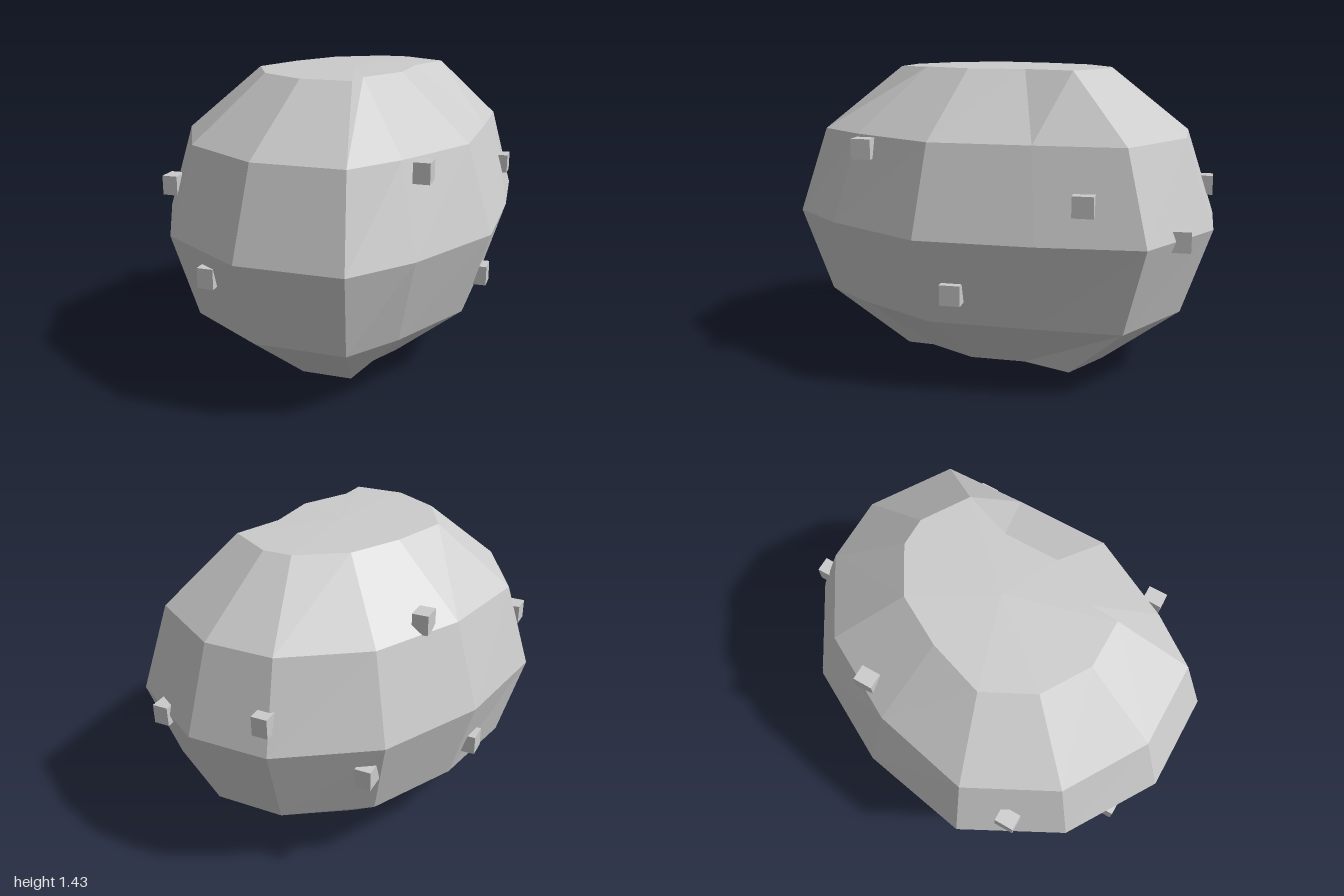
import * as THREE from 'three';

const SIDES = 12;
const MID = 0.717;

// x of each ring corner, going round from the front; z follows from the angle
const RINGS = {
  cap: [0.22, 0.23, 0.35, 0.35, 0.435, 0.22, 0.08, -0.14, -0.27, -0.36, -0.24, -0.02],
  shoulder: [0.31, 0.48, 0.69, 0.69, 0.68, 0.31, -0.02, -0.38, -0.6, -0.7, -0.49, -0.11],
  equator: [0.345, 0.57, 0.815, 0.815, 0.775, 0.345, -0.045, -0.47, -0.72, -0.815, -0.57, -0.14],
};

// One horizontal ring of the body
function ring(xs, radius, y) {
  return xs.map((x, i) => {
    const a = ((i + 0.5) / SIDES) * Math.PI * 2;
    return [x, y, (radius * Math.cos(a)) / Math.cos(Math.PI / 12)];
  });
}

// Skin the stacked rings and close them with shallow caps
function bodyGeometry() {
  const rings = [
    ring(RINGS.cap, 0.5, MID - 0.707),
    ring(RINGS.shoulder, 0.866, MID - 0.408),
    ring(RINGS.equator, 1, MID),
    ring(RINGS.shoulder, 0.866, MID + 0.408),
    ring(RINGS.cap, 0.5, MID + 0.707),
  ];
  const points = rings.flat();
  const index = [];
  const bottom = points.push([0.08, 0.003, 0]) - 1;
  const top = points.push([0.08, 1.43, 0]) - 1;
  const last = (rings.length - 1) * SIDES;
  for (let i = 0; i < SIDES; i++) {
    const j = (i + 1) % SIDES;
    for (let r = 0; r < last; r += SIDES) {
      index.push(r + i, r + j, r + SIDES + j, r + i, r + SIDES + j, r + SIDES + i);
    }
    index.push(bottom, j, i, top, last + i, last + j);
  }
  const geometry = new THREE.BufferGeometry();
  geometry.setAttribute('position', new THREE.Float32BufferAttribute(points.flat(), 3));
  geometry.setIndex(index);
  const flat = geometry.toNonIndexed();
  flat.computeVertexNormals();
  return flat;
}

// Centres of the small blocks half sunk into the surface
const STUDS = [
  [0.56, 1.07, 0.575], [-0.68, 0.89, 0.47], [-0.325, 0.595, 0.84], [0.755, 0.89, -0.465],
  [0.75, 0.47, 0.11], [0.56, 0.715, -0.86], [-0.015, 0.86, -0.948], [-0.488, 1.17, -0.37],
  [-0.388, 0.57, -0.74], [-0.67, 0.46, -0.14],
];

export function createModel() {
  const group = new THREE.Group();
  group.name = 'studdedBoulder';
  const material = new THREE.MeshStandardMaterial({ color: 0xcccccc, flatShading: true });

  const body = new THREE.Mesh(bodyGeometry(), material);
  body.name = 'body';
  group.add(body);

  const studGeometry = new THREE.BoxGeometry(0.075, 0.093, 0.093);
  STUDS.forEach((p, i) => {
    const stud = new THREE.Mesh(studGeometry, material);
    stud.name = `stud${i + 1}`;
    stud.position.set(...p);
    group.add(stud);
  });
  return group;
}
